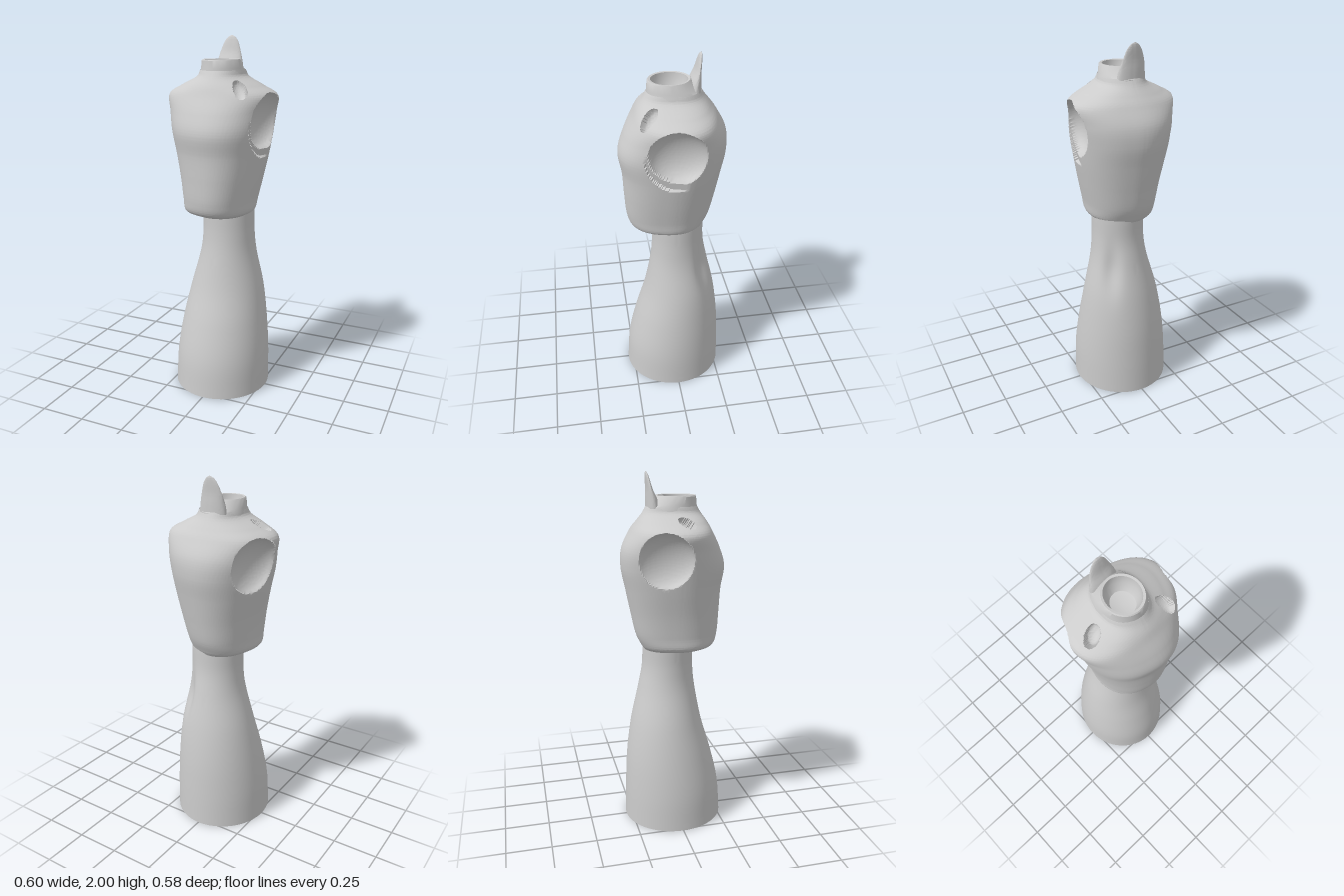
import * as THREE from 'three';
import { toCreasedNormals } from 'three/addons/utils/BufferGeometryUtils.js';

const material = new THREE.MeshStandardMaterial({ color: 0xcccccc, side: THREE.DoubleSide });

// Unit outline: a superellipse turned about y, rescaled to touch -1..1 in x and z.
function outline(sides, power, turn) {
  const pts = [];
  for (let j = 0; j < sides; j++) {
    const a = (j / sides) * Math.PI * 2;
    const c = Math.cos(a), s = Math.sin(a);
    const r = Math.pow(Math.abs(c) ** power + Math.abs(s) ** power, -1 / power);
    pts.push([r * Math.cos(a + turn), r * Math.sin(a + turn)]);
  }
  const mx = Math.max(...pts.map((p) => Math.abs(p[0])));
  const mz = Math.max(...pts.map((p) => Math.abs(p[1])));
  return pts.map(([x, z]) => [x / mx, z / mz]);
}

// Skin over rows of [y, xMin, xMax, zMin, zMax]; deform may move each point.
function loft(name, rows, o) {
  const { sides = 64, steps = 40, power = 2, turn = 0, smooth = true, capped = false, deform } = o;
  const ring = outline(sides, power, turn);
  const knots = (f) => new THREE.CatmullRomCurve3(rows.map(f), false, 'catmullrom', 0.5);
  const yx = knots((r) => new THREE.Vector3(r[0], r[1], r[2]));
  const zz = knots((r) => new THREE.Vector3(r[3], r[4], 0));
  const count = smooth ? steps : rows.length - 1;
  const pos = [], index = [];
  for (let i = 0; i <= count; i++) {
    const A = yx.getPoint(i / count), B = zz.getPoint(i / count);
    for (const [u, w] of ring) {
      const p = new THREE.Vector3(
        (A.y + A.z) / 2 + (u * (A.z - A.y)) / 2, A.x, (B.x + B.y) / 2 + (w * (B.y - B.x)) / 2);
      if (deform) deform(p);
      pos.push(p.x, p.y, p.z);
    }
  }
  for (let i = 0; i < count; i++) {
    for (let j = 0; j < sides; j++) {
      const k = (j + 1) % sides;
      const a = i * sides + j, b = i * sides + k, c = a + sides, d = b + sides;
      index.push(a, c, b, b, c, d);
    }
  }
  if (capped) {
    const r = rows[0];
    const centre = pos.length / 3;
    pos.push((r[1] + r[2]) / 2, r[0], (r[3] + r[4]) / 2);
    for (let j = 0; j < sides; j++) index.push(centre, j, (j + 1) % sides);
  }
  const g = new THREE.BufferGeometry();
  g.setAttribute('position', new THREE.Float32BufferAttribute(pos, 3));
  g.setIndex(index);
  const mesh = new THREE.Mesh(toCreasedNormals(g, 0.6), material);
  mesh.name = name;
  return mesh;
}

// Press an elliptical bowl (flat when depth is 0) into the skin along an axis.
function carver(centre, axis, ru, rv, depth) {
  const c = new THREE.Vector3(...centre), n = new THREE.Vector3(...axis).normalize();
  const u = new THREE.Vector3(0, 1, 0).cross(n).normalize();
  const v = n.clone().cross(u);
  return (p) => {
    const d = p.clone().sub(c);
    const r2 = (d.dot(u) / ru) ** 2 + (d.dot(v) / rv) ** 2;
    const w = d.dot(n), target = -depth * Math.sqrt(Math.max(0, 1 - r2));
    if (r2 < 1 && w > target) p.addScaledVector(n, target - w);
  };
}

export function createModel() {
  const model = new THREE.Group();

  // Flared stand with a shallow groove at the back
  model.add(loft('stand', [
    [0, -0.27, 0.275, -0.285, 0.285],
    [0.2, -0.262, 0.272, -0.28, 0.27],
    [0.4, -0.235, 0.255, -0.268, 0.225],
    [0.6, -0.192, 0.228, -0.24, 0.168],
    [0.8, -0.135, 0.188, -0.195, 0.132],
    [0.93, -0.118, 0.176, -0.17, 0.12],
    [1.06, -0.12, 0.175, -0.165, 0.12],
  ], {
    capped: true,
    deform: (p) => {
      const d2 = ((p.x - 0.13) / 0.04) ** 2 + ((p.z + 0.15) / 0.05) ** 2 + ((p.y - 0.72) / 0.16) ** 2;
      const s = 0.03 * Math.exp(-d2);
      p.x -= s * 0.6;
      p.z += s * 0.8;
    },
  }));

  // Torso, turned slightly, with arm sockets and two small shoulder slots
  const cuts = [];
  for (const [s, x, z] of [[1, 0.265, 0.005], [-1, -0.26, -0.1]]) {
    const axis = [s, -0.16, s * 0.25];
    cuts.push(carver([x, 1.55, z], axis, 0.175, 0.185, 0));
    cuts.push(carver([x, 1.56, z], axis, 0.155, 0.15, 0.09));
  }
  cuts.push(carver([0.15, 1.72, 0.13], [0.5, 0.7, 0.6], 0.035, 0.065, 0.03));
  cuts.push(carver([-0.19, 1.725, 0.02], [-0.6, 0.8, 0.3], 0.035, 0.055, 0.03));
  model.add(loft('torso', [
    [1.04, -0.15, 0.16, -0.165, 0.19],
    [1.065, -0.188, 0.188, -0.182, 0.237],
    [1.13, -0.195, 0.2, -0.212, 0.258],
    [1.25, -0.212, 0.226, -0.238, 0.267],
    [1.38, -0.238, 0.252, -0.264, 0.274],
    [1.5, -0.262, 0.272, -0.287, 0.291],
    [1.6, -0.284, 0.287, -0.281, 0.26],
    [1.69, -0.3, 0.297, -0.235, 0.212],
    [1.74, -0.225, 0.22, -0.2, 0.186],
    [1.785, -0.135, 0.135, -0.167, 0.155],
    [1.82, -0.115, 0.115, -0.147, 0.134],
  ], {
    sides: 240, steps: 170, power: 2.3, turn: 0.25, capped: true,
    deform: (p) => cuts.forEach((cut) => cut(p)),
  }));

  // Neck collar: outer wall, rim, inner wall and rounded floor
  model.add(loft('neckCollar', [
    [1.78, -0.125, 0.125, -0.15, 0.135],
    [1.815, -0.118, 0.118, -0.15, 0.133],
    [1.83, -0.112, 0.11, -0.13, 0.131],
    [1.87, -0.105, 0.101, -0.096, 0.127],
    [1.876, -0.1, 0.097, -0.091, 0.122],
    [1.874, -0.089, 0.085, -0.08, 0.11],
    [1.82, -0.083, 0.08, -0.074, 0.103],
    [1.78, -0.06, 0.058, -0.05, 0.08],
    [1.765, -0.002, -0.002, 0.015, 0.015],
  ], { sides: 40, smooth: false }));

  // Upright tongue behind the collar
  model.add(loft('backTongue', [
    [1.81, -0.085, 0.075, -0.146, -0.075],
    [1.86, -0.08, 0.066, -0.146, -0.088],
    [1.91, -0.07, 0.051, -0.145, -0.113],
    [1.96, -0.052, 0.034, -0.148, -0.128],
    [1.988, -0.031, 0.014, -0.149, -0.137],
    [2.0, -0.009, -0.009, -0.147, -0.147],
  ], { sides: 32, steps: 30, capped: true }));

  return model;
}
